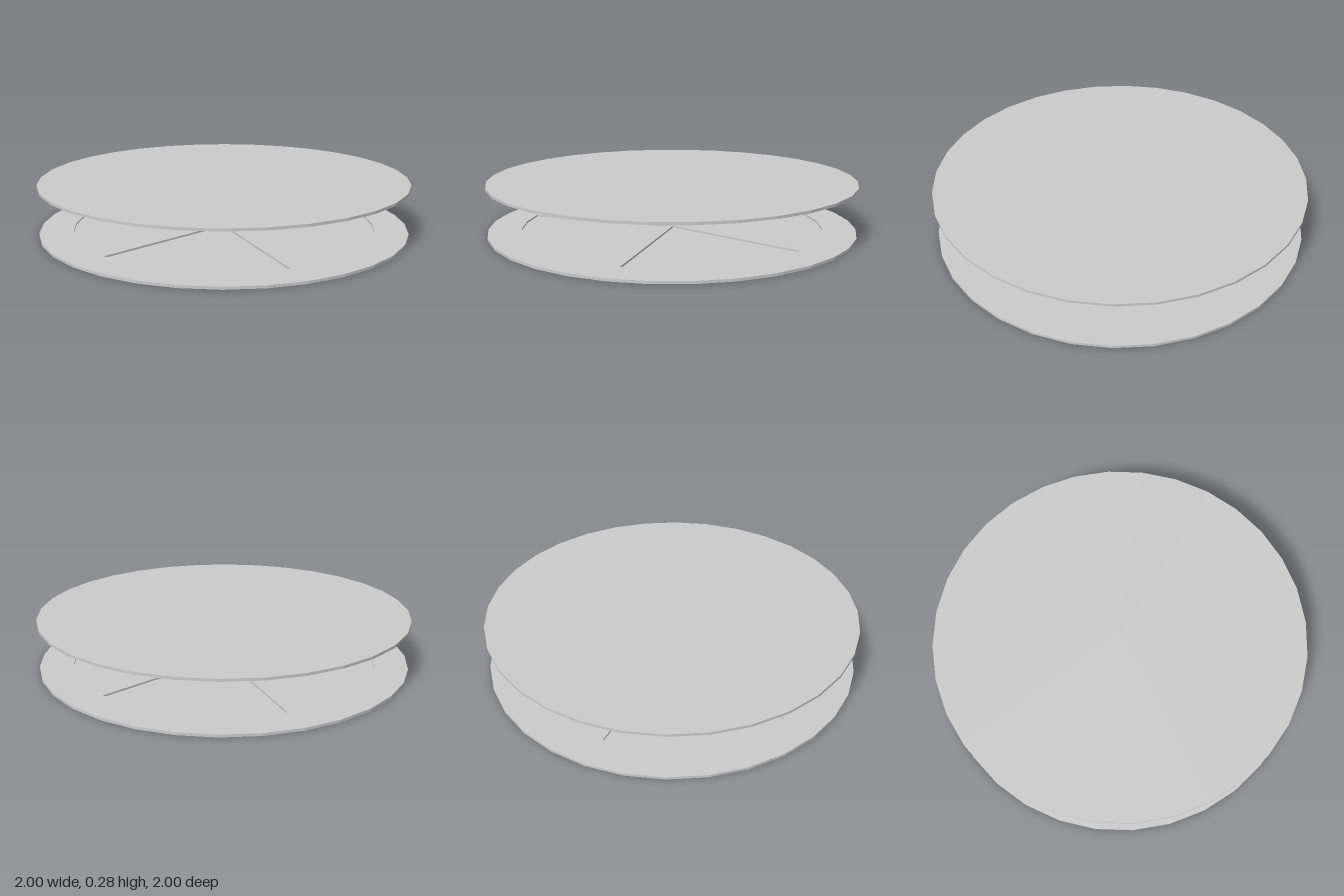
import * as THREE from 'three';

const SIDES = 32, STEP = (Math.PI * 2) / SIDES;
const THICK = 0.014, SKIN = 0.004, RIM = THICK - SKIN;
const POCKET_R = 0.82, UPPER_Y = 0.264;

const material = new THREE.MeshStandardMaterial({ color: 0xcccccc, flatShading: true });

// Points on a circle from step a to step b
function arc(radius, a, b) {
  const points = [];
  for (let i = a; i <= b; i++) {
    points.push(new THREE.Vector2(Math.cos(i * STEP) * radius, Math.sin(i * STEP) * radius));
  }
  return points;
}

// Thin closed plate
function plate(name, y) {
  const geometry = new THREE.CylinderGeometry(1, 1, SKIN, SIDES);
  geometry.translate(0, y + SKIN / 2, 0);
  const mesh = new THREE.Mesh(geometry, material);
  mesh.name = name;
  return mesh;
}

// Layer with cut-outs that become shallow pockets against a plate
function cutLayer(name, y, holes) {
  const shape = new THREE.Shape(arc(1, 0, SIDES - 1));
  shape.holes = holes.map((points) => new THREE.Path(points));
  const geometry = new THREE.ExtrudeGeometry(shape, { depth: RIM, bevelEnabled: false });
  geometry.rotateX(-Math.PI / 2);
  geometry.translate(0, y, 0);
  const mesh = new THREE.Mesh(geometry, material);
  mesh.name = name;
  return mesh;
}

export function createModel() {
  const model = new THREE.Group();
  model.name = 'pairedDiscs';

  // Lower disc: four sector pockets separated by radial spokes
  const sectors = [];
  for (let q = 0; q < 4; q++) {
    const middle = (q * 8 + 4) * STEP;
    const apex = new THREE.Vector2(Math.cos(middle) * 0.02, Math.sin(middle) * 0.02);
    sectors.push([apex, ...arc(POCKET_R, q * 8 + 1, q * 8 + 7)]);
  }
  const lower = new THREE.Group();
  lower.name = 'lowerDisc';
  lower.add(plate('lowerPlate', 0), cutLayer('spokedLayer', SKIN, sectors));

  // Upper disc: one round pocket underneath
  const upper = new THREE.Group();
  upper.name = 'upperDisc';
  upper.add(
    plate('upperPlate', UPPER_Y + RIM),
    cutLayer('upperRim', UPPER_Y, [arc(POCKET_R, 0, SIDES - 1)])
  );

  model.add(lower, upper);
  return model;
}
